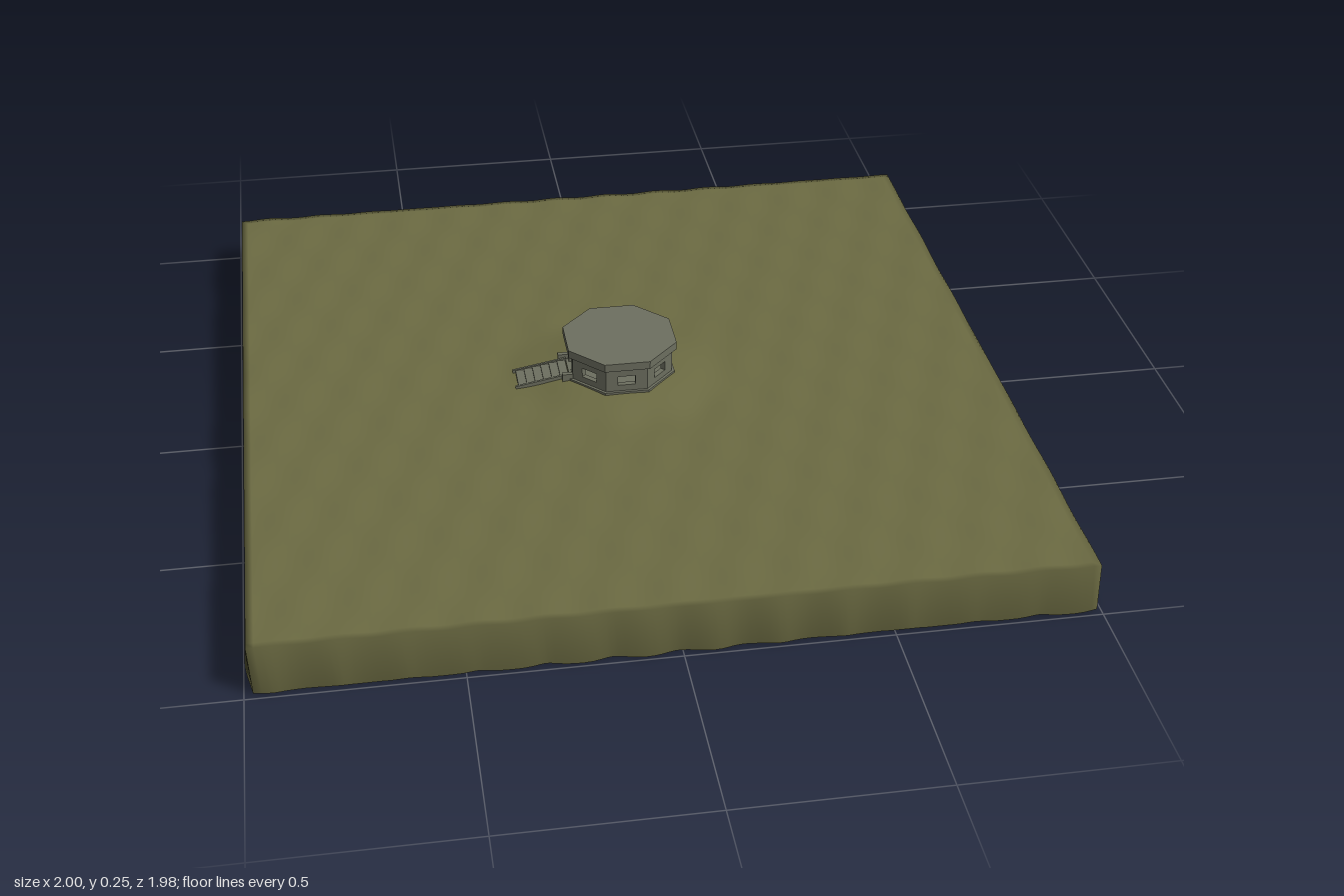
import * as THREE from 'three';

const THICK = 0.133, HALF = 0.985, N = 110;

// Rippled ground height with a low central mound
function ground(x, z) {
  const r = Math.hypot(x, z * 1.08);
  const t = THREE.MathUtils.clamp((0.31 - r) / 0.2, 0, 1);
  const mound = 0.026 * t * t * (3 - 2 * t);
  const ripple = 0.0013 * Math.sin(43 * x + 16 * z) + 0.0011 * Math.sin(21 * z - 38 * x + 1);
  return 0.134 + mound + ripple * (1 - t);
}

// Closed slab: top surface, plus a copy offset along the surface normal
function slabGeometry() {
  const pos = [], idx = [], W = N + 1, e = 0.002;
  for (let layer = 0; layer < 2; layer++)
    for (let j = 0; j <= N; j++)
      for (let i = 0; i <= N; i++) {
        const x = (i / N * 2 - 1) * HALF, z = (j / N * 2 - 1) * HALF;
        const n = new THREE.Vector3(
          (ground(x - e, z) - ground(x + e, z)) / (2 * e), 1,
          (ground(x, z - e) - ground(x, z + e)) / (2 * e)).normalize();
        const d = layer * THICK;
        pos.push(x - n.x * d, Math.max(0, ground(x, z) - n.y * d), z - n.z * d);
      }
  const B = W * W;
  const quad = (a, b, c, d) => idx.push(a, b, c, a, c, d);
  for (let j = 0; j < N; j++)
    for (let i = 0; i < N; i++) {
      const a = j * W + i;
      quad(a, a + W, a + W + 1, a + 1);
      quad(B + a, B + a + 1, B + a + W + 1, B + a + W);
    }
  const rim = (a, b) => quad(a, B + a, B + b, b);
  for (let k = 0; k < N; k++) {
    rim(N * W + k, N * W + k + 1);      // front
    rim(k + 1, k);                      // back
    rim(k * W, (k + 1) * W);            // right side (-x)
    rim((k + 1) * W + N, k * W + N);    // left side (+x)
  }
  const g = new THREE.BufferGeometry();
  g.setAttribute('position', new THREE.Float32BufferAttribute(pos, 3));
  g.setIndex(idx);
  g.computeVertexNormals();
  return g;
}

// Octagonal block with flat sides facing the axes
function octagon(apothem, y0, y1) {
  const r = apothem / Math.cos(Math.PI / 8);
  const g = new THREE.CylinderGeometry(r, r, y1 - y0, 8).toNonIndexed();
  g.computeVertexNormals();
  return g.rotateY(Math.PI / 8).translate(0, (y0 + y1) / 2, 0);
}

// One wall panel with a rectangular opening, outer face at z = apothem
function wallPanel(apothem, y0, y1, half, open0, open1) {
  const w = apothem * Math.tan(Math.PI / 8), depth = 0.014;
  const rect = (P, a, b, c) => {
    const p = new P();
    p.moveTo(-a, b); p.lineTo(a, b); p.lineTo(a, c); p.lineTo(-a, c); p.closePath();
    return p;
  };
  const s = rect(THREE.Shape, w, y0, y1);
  s.holes.push(rect(THREE.Path, half, open0, open1));
  const g = new THREE.ExtrudeGeometry(s, { depth, bevelEnabled: false });
  // Mitre the inner edges so neighbouring panels meet
  const p = g.attributes.position, inner = 1 - depth / apothem;
  for (let i = 0; i < p.count; i++)
    if (p.getZ(i) < 0.001 && Math.abs(p.getX(i)) > w - 0.001) p.setX(i, p.getX(i) * inner);
  g.translate(0, 0, apothem - depth);
  g.computeVertexNormals();
  return g;
}

export function createModel() {
  const model = new THREE.Group();
  const grass = new THREE.MeshStandardMaterial({ color: 0x6b6a42 });
  grass.name = 'olive ground';
  const concrete = new THREE.MeshStandardMaterial({ color: 0x6c6e5f });
  concrete.name = 'grey concrete';
  const add = (name, geo, mat, parent) => {
    const m = new THREE.Mesh(geo, mat);
    m.name = name;
    parent.add(m);
    return m;
  };
  const box = (name, sx, sy, sz, x, y, z, parent) =>
    add(name, new THREE.BoxGeometry(sx, sy, sz), concrete, parent).position.set(x, y, z);

  add('groundSlab', slabGeometry(), grass, model);

  // Octagonal bunker
  const bunker = new THREE.Group();
  bunker.name = 'bunker';
  model.add(bunker);
  add('foundation', octagon(0.138, 0.14, 0.163), concrete, bunker);
  add('roof', octagon(0.142, 0.23, 0.252), concrete, bunker);
  for (let i = 0; i < 8; i++) {
    const door = i === 6;
    const geo = door ? wallPanel(0.131, 0.16, 0.231, 0.026, 0.164, 0.218)
      : wallPanel(0.131, 0.16, 0.231, 0.023, 0.18, 0.206);
    add(door ? 'doorWall' : 'windowWall', geo, concrete, bunker).rotation.y = i * Math.PI / 4;
  }

  // Entrance steps following the mound on the -x side
  const steps = new THREE.Group();
  steps.name = 'entranceSteps';
  model.add(steps);
  for (let i = 0; i < 6; i++) {
    const x = -0.261 + i * 0.022, top = 0.143 + i * 0.004;
    box('step', 0.022, 0.02, 0.076, x, top - 0.01, 0, steps);
  }
  for (const s of [-1, 1]) {
    const rail = new THREE.BoxGeometry(0.145, 0.014, 0.006).rotateZ(0.18);
    add('stepEdge', rail, concrete, steps).position.set(-0.208, 0.149, s * 0.039);
    box('doorCheek', 0.03, 0.04, 0.012, -0.143, 0.156, s * 0.049, steps);
  }
  return model;
}
